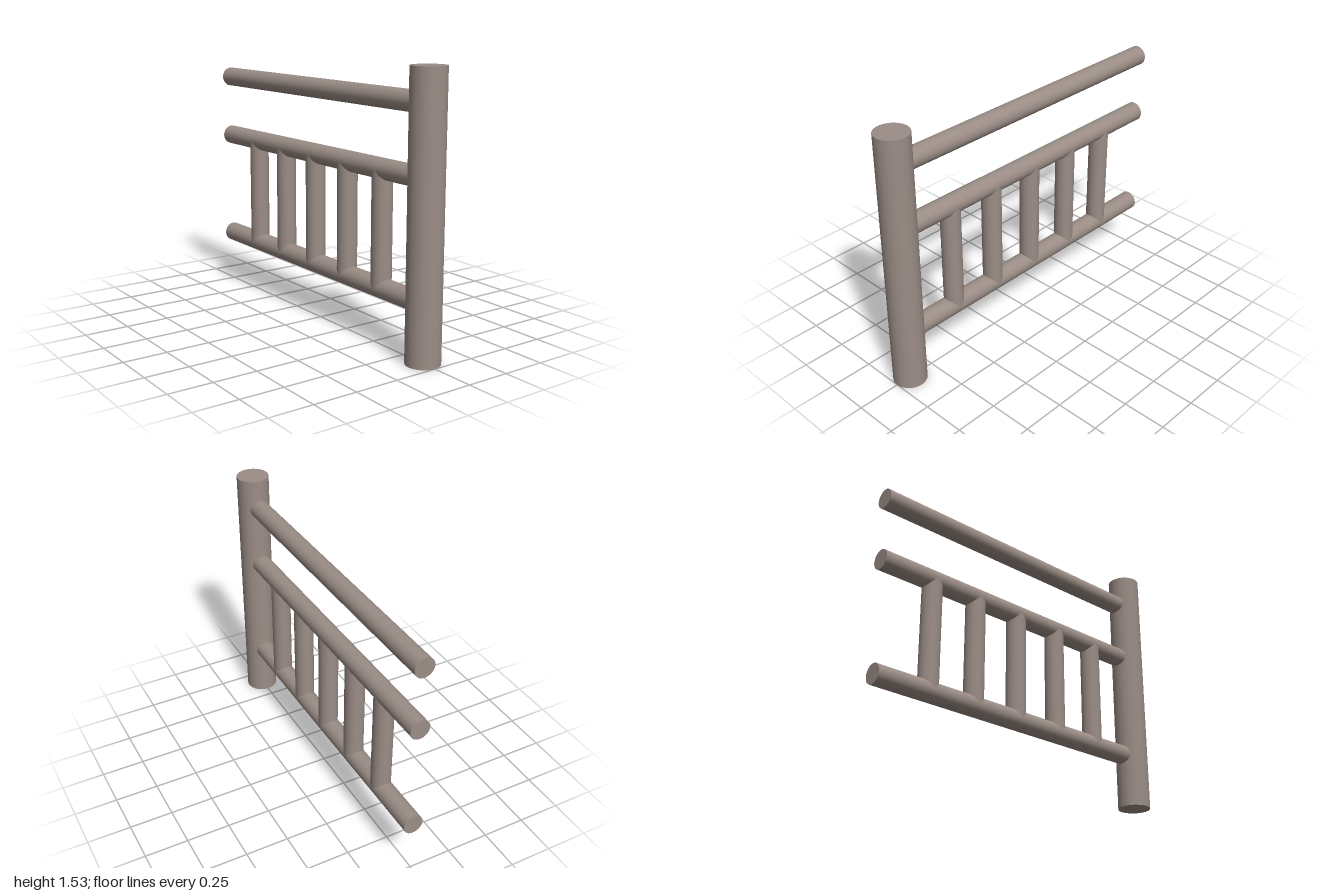
import * as THREE from 'three';

const POST = { x: 0.905, radius: 0.095, height: 1.527 };
const BAR_RADIUS = 0.057;
const LOWER_RAIL = 0.32;
const MIDDLE_RAIL = 0.968;
const UPPER_RAIL = 1.343;

export function createModel() {
  const model = new THREE.Group();
  model.name = 'railing';

  const wood = new THREE.MeshStandardMaterial({ color: 0x9b8d86 });
  wood.name = 'greyBrownWood';

  // Smooth round log, upright by default
  function addLog(name, radius, length, x, y, lying = false) {
    const log = new THREE.Mesh(new THREE.CylinderGeometry(radius, radius, length, 48), wood);
    log.name = name;
    log.position.set(x, y, 0);
    if (lying) log.rotation.z = Math.PI / 2;
    model.add(log);
  }

  // Thick end post
  addLog('post', POST.radius, POST.height, POST.x, POST.height / 2);

  // Horizontal rails, running from the open end into the post
  const railLength = POST.x + 1;
  const rails = { lowerRail: LOWER_RAIL, middleRail: MIDDLE_RAIL, upperRail: UPPER_RAIL };
  for (const [name, y] of Object.entries(rails)) {
    addLog(name, BAR_RADIUS, railLength, -1 + railLength / 2, y, true);
  }

  // Balusters between the centre lines of the two lower rails
  for (let i = 0; i < 5; i++) {
    addLog(`baluster${i + 1}`, BAR_RADIUS, MIDDLE_RAIL - LOWER_RAIL,
      -0.66 + i * 0.3045, (LOWER_RAIL + MIDDLE_RAIL) / 2);
  }

  return model;
}
